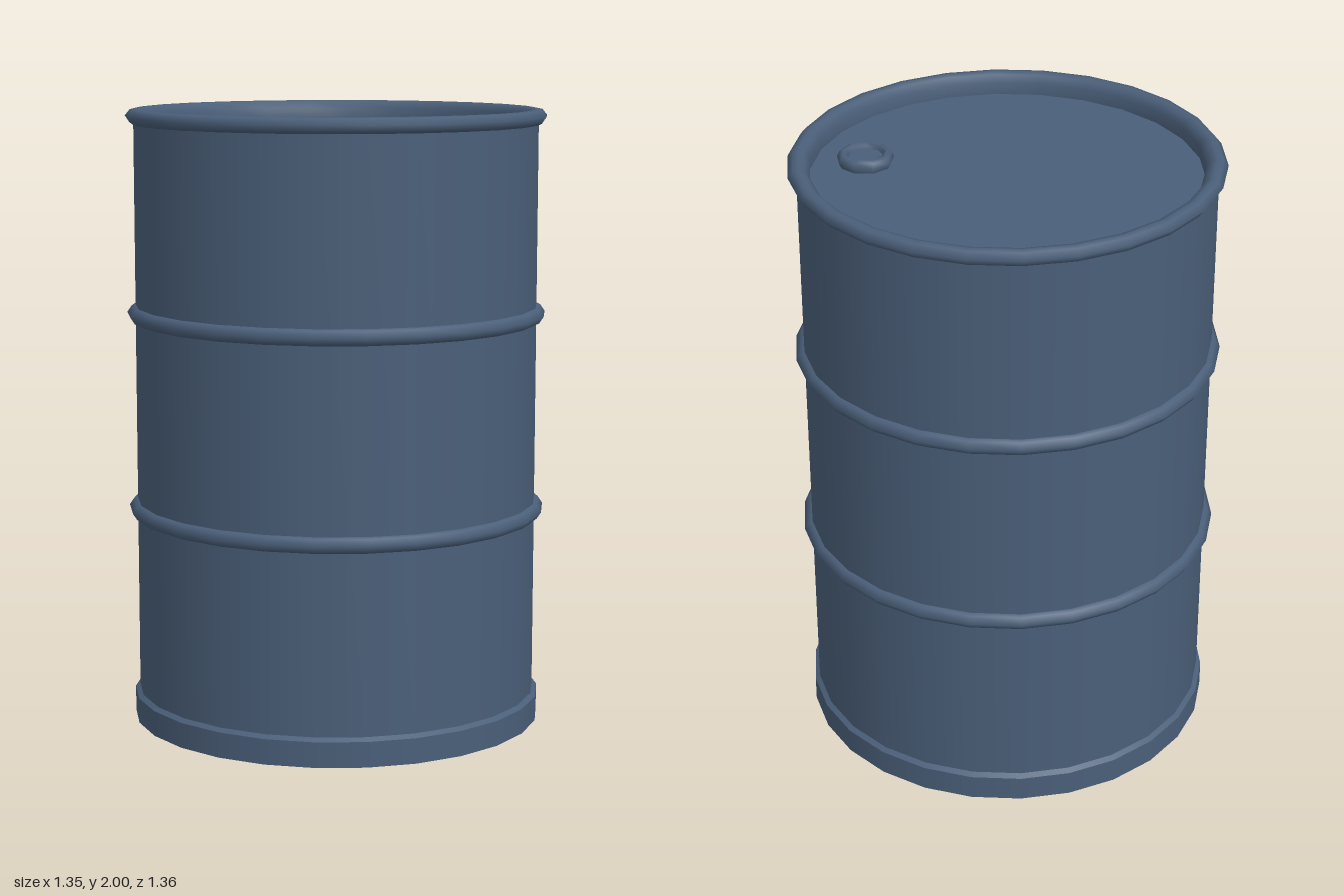
import * as THREE from 'three';

const SIDES = 26;
const steel = new THREE.MeshStandardMaterial({ color: 0x4a5f79 });
steel.name = 'blue grey steel';

// Turned part from [radius, height] pairs, outside listed from bottom to top
function turned(name, profile, sides = SIDES, start = 0) {
  const points = profile.map(([r, y]) => new THREE.Vector2(r, y));
  const mesh = new THREE.Mesh(new THREE.LatheGeometry(points, sides, start), steel);
  mesh.name = name;
  return mesh;
}

export function createModel() {
  const drum = new THREE.Group();
  drum.name = 'drum';

  // Shell between the two ends
  drum.add(turned('shell', [[0.655, 0.08], [0.655, 1.96]]));

  // Pressed rolling hoops
  for (const y of [0.7, 1.34]) {
    drum.add(turned('rollingHoop', [
      [0.655, y - 0.026], [0.668, y - 0.021], [0.682, y],
      [0.668, y + 0.021], [0.655, y + 0.026],
    ]));
  }

  // Base band, its shoulder and the recessed bottom
  drum.add(
    turned('baseBand', [[0.67, 0], [0.67, 0.082]]),
    turned('baseShoulder', [[0.67, 0.082], [0.654, 0.094]]),
    turned('baseLip', [[0.648, 0], [0.67, 0]]),
    turned('baseInnerWall', [[0.648, 0.02], [0.648, 0]]),
    turned('bottom', [[0, 0.02], [0.648, 0.02]]),
  );

  // Rolled rim around the recessed lid
  drum.add(
    turned('topRim', [
      [0.654, 1.95], [0.668, 1.956], [0.682, 1.977], [0.666, 1.997],
      [0.648, 2], [0.63, 1.995], [0.614, 1.972], [0.614, 1.93],
    ]),
    turned('lid', [[0.62, 1.932], [0, 1.932]]),
  );

  // Filler bung: collar, sunken floor and notched plug
  const bung = new THREE.Group();
  bung.name = 'bung';
  bung.position.set(0.45, 1.93, 0);
  bung.add(
    turned('bungCollar', [
      [0.083, 0], [0.091, 0.018], [0.083, 0.036], [0.07, 0.042],
      [0.058, 0.034], [0.056, 0.015],
    ], 9, Math.PI / 2),
    turned('bungFloor', [[0.06, 0.016], [0, 0.016]], 9, Math.PI / 2),
  );
  const outline = [
    [0.05, -0.045], [0.05, 0.05], [-0.03, 0.052], [-0.06, 0.015],
    [-0.035, 0], [-0.06, -0.015], [-0.04, -0.045], [0, -0.06],
  ].map(([x, y]) => new THREE.Vector2(x, y));
  const plug = new THREE.Mesh(
    new THREE.ExtrudeGeometry(new THREE.Shape(outline), { depth: 0.009, bevelEnabled: false }),
    steel,
  );
  plug.name = 'bungPlug';
  plug.rotation.x = -Math.PI / 2;
  plug.position.y = 0.016;
  bung.add(plug);
  drum.add(bung);

  return drum;
}
